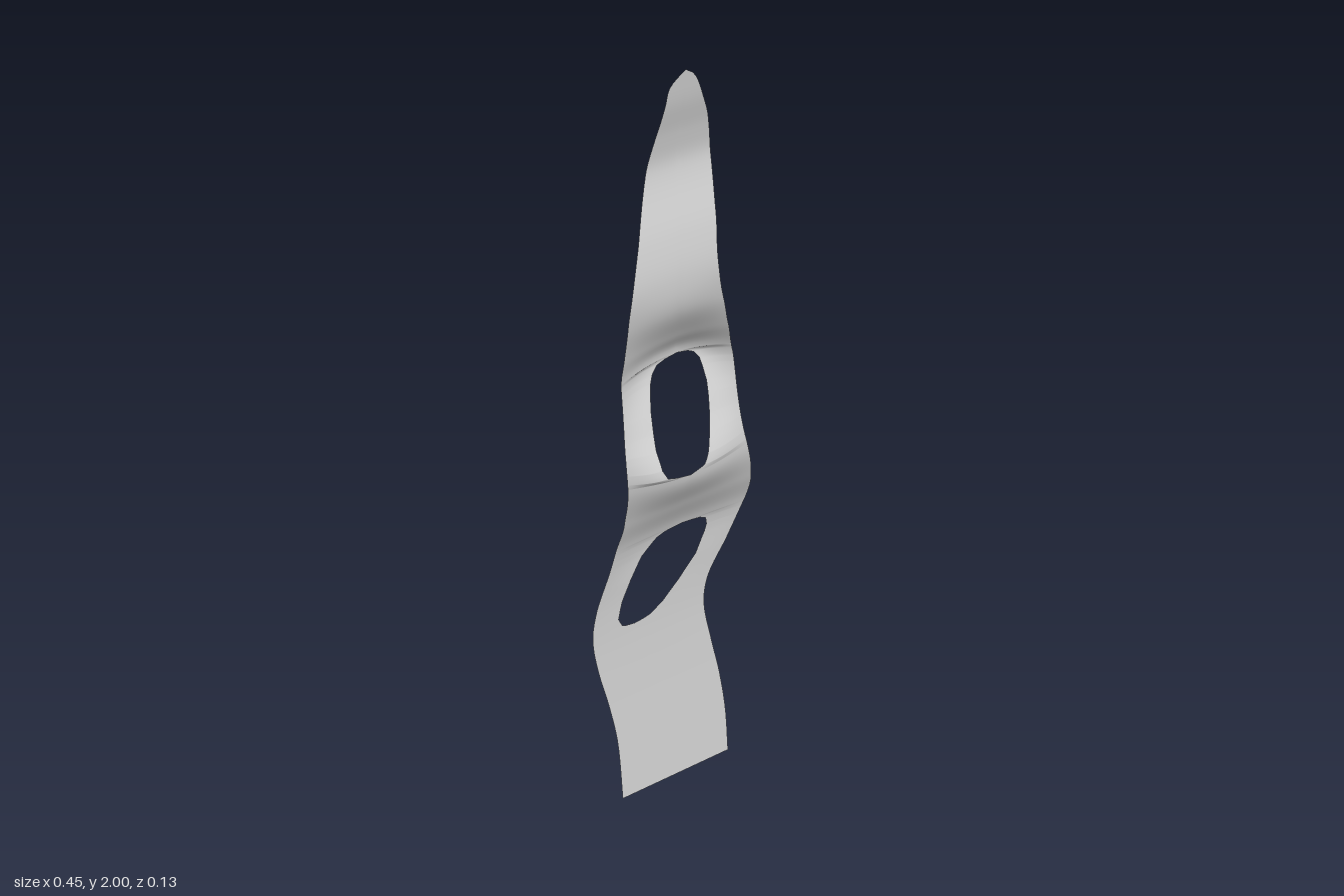
import * as THREE from 'three';

// Outer edges as [height, x]
const LEFT = [[0, -.175], [.13, -.174], [.2, -.178], [.3, -.194], [.4, -.215], [.5, -.226], [.58, -.213],
  [.7, -.175], [.8, -.163], [.9, -.17], [1, -.178], [1.1, -.168], [1.2, -.158], [1.3, -.165], [1.43, -.176],
  [1.52, -.165], [1.63, -.13], [1.75, -.085], [1.85, -.06], [1.92, -.05], [1.965, -.043], [1.988, -.02], [2, -.003]];
const RIGHT = [[0, .16], [.13, .16], [.25, .148], [.35, .13], [.47, .112], [.55, .125], [.65, .18], [.75, .22],
  [.8, .223], [.87, .208], [1, .167], [1.1, .163], [1.2, .165], [1.26, .15], [1.35, .115], [1.45, .08],
  [1.53, .07], [1.62, .08], [1.75, .095], [1.85, .08], [1.92, .052], [1.97, .03], [1.99, .014], [2, -.003]];

// Inner seam as [height, left x, right x]; it opens into the two holes
const SEAM = [[0, -.007, -.007], [.3, -.03, -.03], [.5, -.1, -.1], [.503, -.125, -.075], [.508, -.138, -.053],
  [.53, -.148, -.016], [.577, -.137, .034], [.635, -.111, .085], [.693, -.079, .111], [.714, -.058, .116],
  [.735, -.037, .111], [.745, -.015, .092], [.749, .01, .065], [.752, .035, .035],
  [.976, -.02, -.02], [.982, -.06, 0], [.989, -.085, .021], [1.011, -.096, .036], [1.053, -.096, .058],
  [1.085, -.088, .074], [1.127, -.079, .086], [1.153, -.07, .092], [1.185, -.058, .092], [1.205, -.047, .089],
  [1.222, -.03, .077], [1.23, -.005, .06], [1.235, .03, .03], [1.45, -.045, -.045], [1.75, .005, .005], [2, -.003, -.003]];

// Depth along the middle and along the outer edges as [height, z]
const MID_Z = [[0, -.015], [.2, -.036], [.37, -.052], [.5, -.06], [.62, -.06], [.75, -.05], [.85, 0], [.98, .064],
  [1.1, .002], [1.235, -.06], [1.31, -.02], [1.41, .036], [1.5, .046], [1.6, .028], [1.75, -.02], [1.83, -.014], [1.92, .008], [2, .02]];
const EDGE_Z = [[0, -.015], [.2, -.036], [.37, -.052], [.5, -.06], [.62, -.058], [.75, -.042], [.85, -.005], [.98, .03],
  [1.1, .004], [1.22, -.02], [1.31, .005], [1.41, .036], [1.5, .046], [1.6, .028], [1.75, -.02], [1.83, -.014], [1.92, .008], [2, .02]];

const segmentAt = (table, y) => {
  let i = 0;
  while (i < table.length - 2 && y > table[i + 1][0]) i++;
  return i;
};

function linear(table, y, col) {
  const i = segmentAt(table, y), a = table[i], b = table[i + 1];
  return a[col] + (b[col] - a[col]) * (y - a[0]) / (b[0] - a[0]);
}

// Cubic interpolation with slopes taken from the neighbouring points
function smooth(table, y) {
  const i = segmentAt(table, y), n = table.length - 1;
  const slope = (k) => {
    const a = table[Math.max(k - 1, 0)], b = table[Math.min(k + 1, n)];
    return (b[1] - a[1]) / (b[0] - a[0]);
  };
  const [y0, v0] = table[i], [y1, v1] = table[i + 1];
  const h = y1 - y0, t = (y - y0) / h, s = 1 - t;
  return (1 + 2 * t) * s * s * v0 + t * s * s * h * slope(i) + t * t * (3 - 2 * t) * v1 - t * t * s * h * slope(i + 1);
}

function ribbonGeometry() {
  const COLS = 8;
  const rows = [...new Set([...Array.from({ length: 161 }, (_, i) => i / 80), ...SEAM.map((p) => p[0])])].sort((a, b) => a - b);
  const pos = [], index = [];
  const ids = rows.map((y) => {
    const inner = [linear(SEAM, y, 1), linear(SEAM, y, 2)];
    const outer = [smooth(LEFT, y), smooth(RIGHT, y)];
    const closed = inner[1] - inner[0] < 1e-6;
    const zMid = smooth(MID_Z, y), zEdge = smooth(EDGE_Z, y);
    const bands = [0, 1].map((side) => Array.from({ length: COLS + 1 }, (_, j) => {
      const t = j / COLS;
      const z = zEdge + (zMid - zEdge) * Math.sin(t * Math.PI / 2);
      pos.push(outer[side] + (inner[side] - outer[side]) * t, y, z);
      return pos.length / 3 - 1;
    }));
    // Both bands share the seam vertex where the ribbon is solid
    if (closed) bands[1][COLS] = bands[0][COLS];
    return bands;
  });
  for (let r = 0; r < rows.length - 1; r++) {
    for (let side = 0; side < 2; side++) {
      for (let j = 0; j < COLS; j++) {
        const a = ids[r][side][j], b = ids[r][side][j + 1];
        const c = ids[r + 1][side][j + 1], d = ids[r + 1][side][j];
        if (side === 0) index.push(a, b, c, a, c, d);
        else index.push(a, c, b, a, d, c);
      }
    }
  }
  const geometry = new THREE.BufferGeometry();
  geometry.setAttribute('position', new THREE.Float32BufferAttribute(pos, 3));
  geometry.setIndex(index);
  geometry.computeVertexNormals();
  return geometry;
}

export function createModel() {
  const group = new THREE.Group();
  group.name = 'wavyBlade';
  // Thin rippling blade with two slanted holes
  const blade = new THREE.Mesh(ribbonGeometry(), new THREE.MeshStandardMaterial({ color: 0xcccccc, side: THREE.DoubleSide }));
  blade.name = 'blade';
  group.add(blade);
  return group;
}
